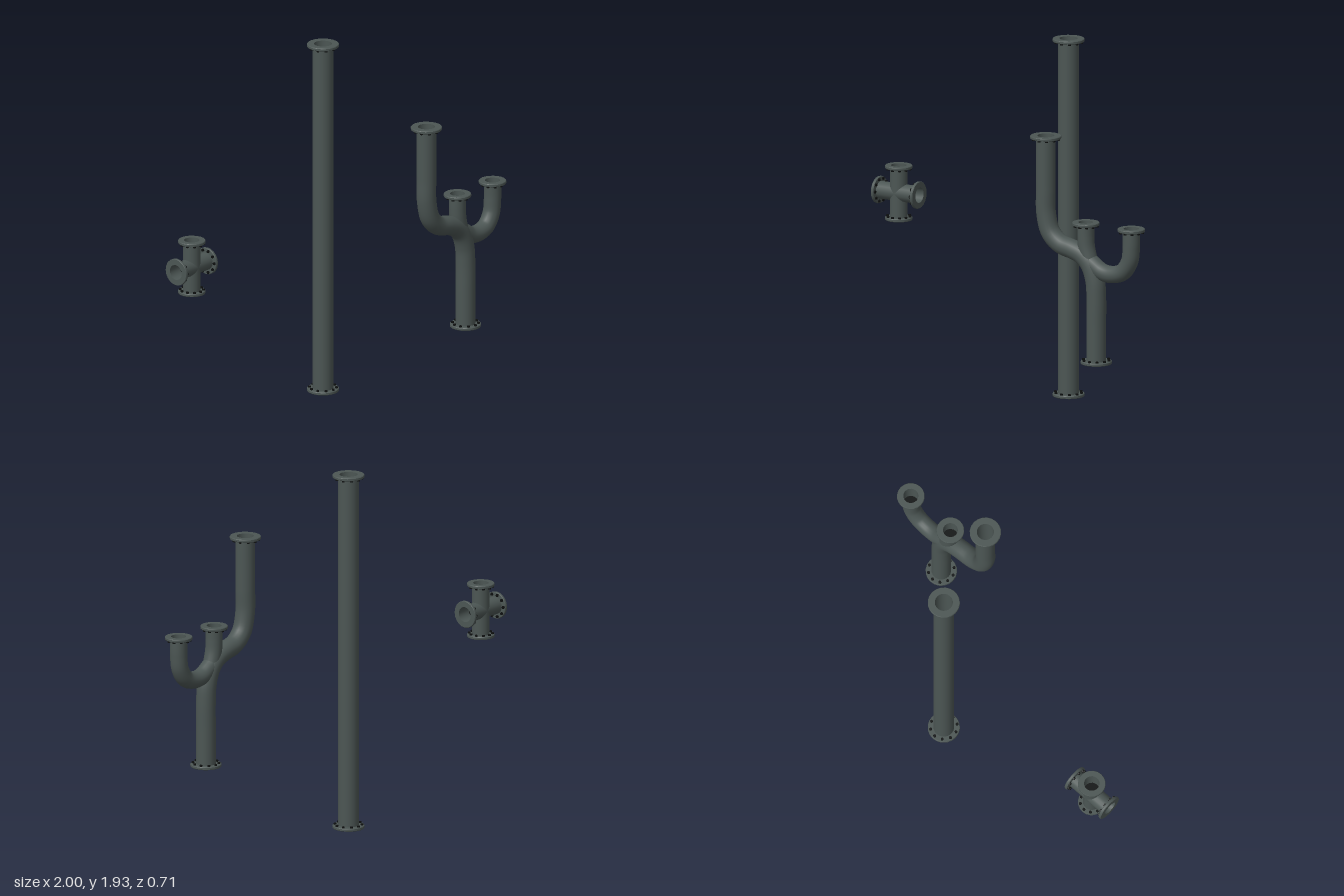
import * as THREE from 'three';
import { toCreasedNormals } from 'three/addons/utils/BufferGeometryUtils.js';

const iron = new THREE.MeshStandardMaterial({ color: 0x4c5654 });
iron.name = 'cast iron';
const dark = new THREE.MeshStandardMaterial({ color: 0x0d0f0f });
dark.name = 'dark steel';

const V = (x, y, z = 0) => new THREE.Vector3(x, y, z);
const SIDES = 20;

function add(parent, name, geometry, material) {
  const mesh = new THREE.Mesh(geometry, material);
  mesh.name = name;
  parent.add(mesh);
  return mesh;
}

// Open pipe end: flange ring with its bore, a dark depth and a circle of bolts.
// The end face sits at pos and looks along dir.
function pipeEnd(parent, pos, dir, pipeR, flangeR, depth) {
  const end = new THREE.Group();
  end.name = 'flange';
  end.position.copy(pos);
  end.quaternion.setFromUnitVectors(V(0, 1, 0), dir);
  parent.add(end);

  const bore = pipeR * 0.87;
  const profile = [
    [pipeR * 0.98, -0.016], [flangeR * 0.97, -0.016], [flangeR, -0.013],
    [flangeR, -0.003], [flangeR * 0.97, 0], [bore, 0], [bore, -depth],
  ].map(([r, y]) => new THREE.Vector2(r, y));
  add(end, 'flangeRing', toCreasedNormals(new THREE.LatheGeometry(profile, SIDES), 0.6), iron);

  const floor = add(end, 'boreDepth', new THREE.CircleGeometry(bore, SIDES), dark);
  floor.rotation.x = -Math.PI / 2;
  floor.position.y = -depth;

  const boltRing = (pipeR + flangeR) / 2 + 0.001;
  for (let i = 0; i < 10; i++) {
    const a = (i + 0.5) * Math.PI / 5;
    const bolt = add(end, 'bolt', new THREE.CylinderGeometry(0.008, 0.008, 0.008, 6), dark);
    bolt.position.set(Math.cos(a) * boltRing, -0.02, Math.sin(a) * boltRing);
  }
}

// Straight pipe wall between two points
function straight(parent, a, b, r) {
  const path = new THREE.LineCurve3(a, b);
  return add(parent, 'pipe', new THREE.TubeGeometry(path, 1, r, SIDES), iron);
}

// Curved pipe wall through a few [x, y] points
function bent(parent, name, points, r) {
  const path = new THREE.CatmullRomCurve3(points.map(([x, y]) => V(x, y)), false, 'centripetal');
  return add(parent, name, new THREE.TubeGeometry(path, 64, r, SIDES), iron);
}

export function createModel() {
  const model = new THREE.Group();
  model.name = 'pipeSet';
  const up = V(0, 1, 0), down = V(0, -1, 0);

  // Tall straight pipe
  const tall = new THREE.Group();
  tall.name = 'tallPipe';
  tall.position.set(0.187, 0, -0.273);
  straight(tall, V(0, 0.01), V(0, 1.92), 0.055);
  pipeEnd(tall, V(0, 1.93), up, 0.055, 0.085, 0.4);
  pipeEnd(tall, V(0, 0), down, 0.055, 0.085, 0.4);
  model.add(tall);

  // Four-way cross fitting
  const cross = new THREE.Group();
  cross.name = 'crossFitting';
  cross.position.set(-0.871, 0.967, -0.273);
  straight(cross, V(0, -0.14), V(0, 0.14), 0.047);
  straight(cross, V(-0.12, 0), V(0.12, 0), 0.047);
  for (const s of [-1, 1]) {
    pipeEnd(cross, V(0, s * 0.147), V(0, s, 0), 0.047, 0.073, 0.1);
    pipeEnd(cross, V(s * 0.129, 0), V(s, 0, 0), 0.047, 0.073, 0.081);
  }
  model.add(cross);

  // Branching pipe: stem bending into the left riser, plus two side branches
  const tree = new THREE.Group();
  tree.name = 'branchingPipe';
  tree.position.z = 0.27;
  bent(tree, 'stemAndRiser', [
    [0.705, 0.355], [0.705, 0.55], [0.705, 0.7], [0.698, 0.79], [0.67, 0.87], [0.62, 0.92],
    [0.56, 0.943], [0.48, 0.965], [0.42, 1.02], [0.392, 1.12], [0.39, 1.25], [0.39, 1.525],
  ], 0.052);
  bent(tree, 'middleBranch', [
    [0.64, 1.09], [0.64, 1.02], [0.645, 0.96], [0.67, 0.87], [0.7, 0.78],
  ], 0.045);
  bent(tree, 'sideBranch', [
    [0.923, 1.09], [0.923, 1.0], [0.912, 0.92], [0.868, 0.858], [0.8, 0.837],
    [0.74, 0.845], [0.69, 0.875], [0.64, 0.91],
  ], 0.046);
  pipeEnd(tree, V(0.705, 0.345), down, 0.052, 0.083, 0.25);
  pipeEnd(tree, V(0.39, 1.537), up, 0.052, 0.083, 0.25);
  pipeEnd(tree, V(0.64, 1.1), up, 0.045, 0.073, 0.09);
  pipeEnd(tree, V(0.923, 1.1), up, 0.046, 0.073, 0.11);
  model.add(tree);

  return model;
}
